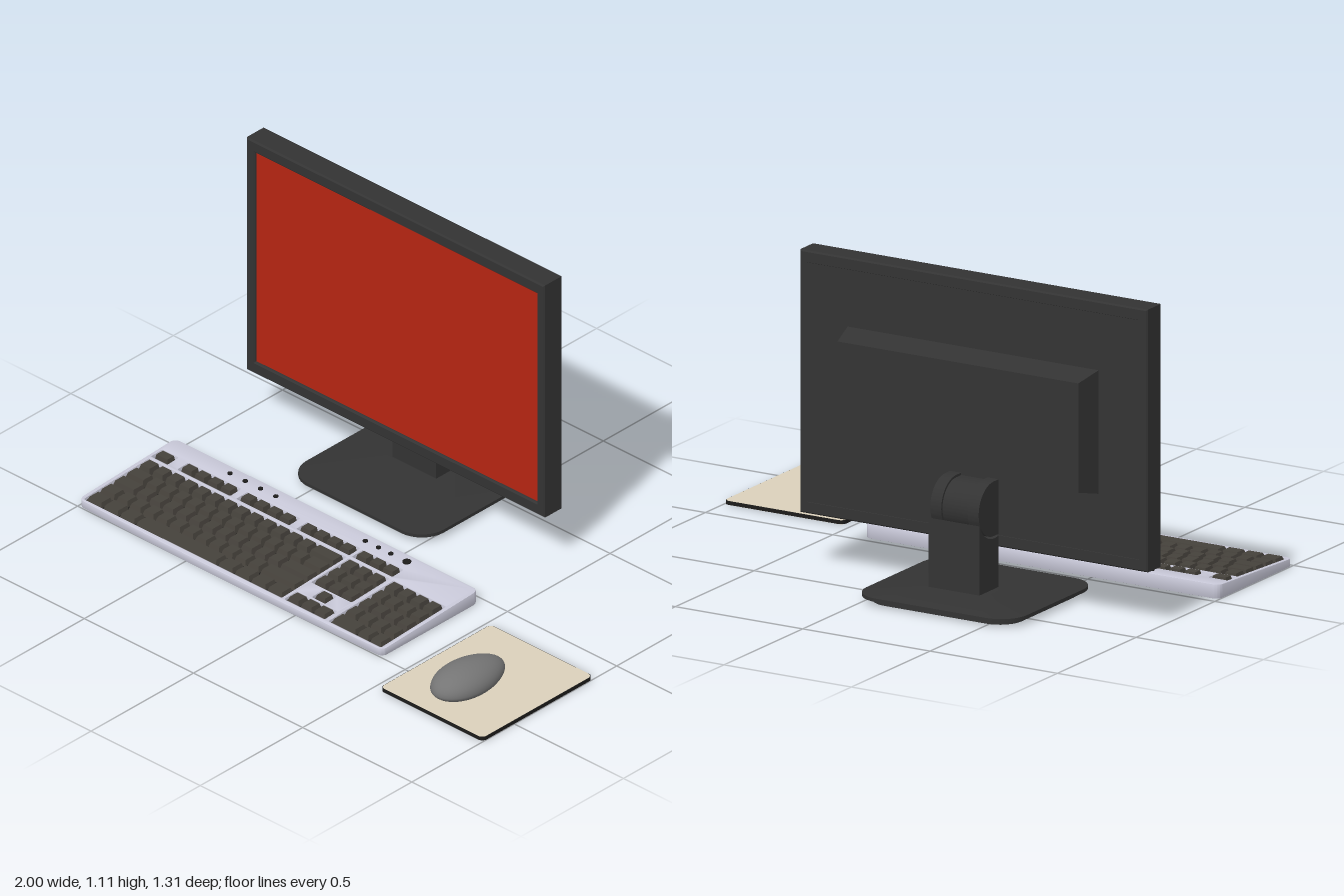
import * as THREE from 'three';
import { mergeGeometries, mergeVertices, toCreasedNormals } from 'three/addons/utils/BufferGeometryUtils.js';

const mat = (color) => new THREE.MeshStandardMaterial({ color });
const black = mat(0x333333), red = mat(0xb52412), shell = mat(0xc8c8d8), keyMat = mat(0x45413b);
const dark = mat(0x1c1b1a), tan = mat(0xdad0ba), grey = mat(0x757575);

function add(parent, name, geo, material) {
  const mesh = new THREE.Mesh(geo, material);
  mesh.name = name;
  parent.add(mesh);
}

// Box given by its limits
function box(x0, x1, y0, y1, z0, z1) {
  return new THREE.BoxGeometry(x1 - x0, y1 - y0, z1 - z0)
    .translate((x0 + x1) / 2, (y0 + y1) / 2, (z0 + z1) / 2);
}

// Rounded rectangle seen from above (point y = -z); bow curves its front edge outward
function outline(x0, x1, z0, z1, r, segments = 8, bow = 0) {
  const pts = [];
  const corners = [[x0 + r, r - z1], [x1 - r, r - z1], [x1 - r, -z0 - r], [x0 + r, -z0 - r]];
  corners.forEach(([cx, cy], c) => {
    for (let i = 0; i <= segments; i++) {
      const a = Math.PI * (1 + (c + i / segments) / 2);
      pts.push(new THREE.Vector2(cx + r * Math.cos(a), cy + r * Math.sin(a)));
    }
    if (c === 0 && bow > 0) {
      for (let t = 0.1; t < 0.95; t += 0.1) {
        pts.push(new THREE.Vector2(x0 + r + t * (x1 - x0 - 2 * r), -z1 - 4 * bow * t * (1 - t)));
      }
    }
  });
  return pts;
}

// Plan shape raised from y0 to y1, with optional bevel
function slab(shape, y0, y1, bevel = 0) {
  return new THREE.ExtrudeGeometry(shape, {
    depth: y1 - y0 - 2 * bevel, bevelEnabled: bevel > 0,
    bevelThickness: bevel, bevelSize: bevel, bevelOffset: -bevel, bevelSegments: 2,
  }).rotateX(-Math.PI / 2).translate(0, y0 + bevel, 0);
}

// Side profile (shape x = world z) extruded between x0 and x1
function sideProfile(shape, x0, x1) {
  const geo = new THREE.ExtrudeGeometry(shape, { depth: x1 - x0, bevelEnabled: false, curveSegments: 24 });
  return toCreasedNormals(geo.rotateY(-Math.PI / 2).translate(x1, 0, 0), 0.5);
}

// Skin over a stack of equal-count outlines, capped at both ends
function loft(rings) {
  const n = rings[0][0].length, top = (rings.length - 1) * n, idx = [];
  const pos = rings.flatMap(([pts, y]) => pts.flatMap((p) => [p.x, y, -p.y]));
  for (let k = 0; k < top; k += n) {
    for (let i = 0; i < n; i++) {
      const a = k + i, b = k + (i + 1) % n;
      idx.push(a, b, b + n, a, b + n, a + n);
    }
  }
  for (let i = 1; i < n - 1; i++) idx.push(0, i + 1, i, top, top + i, top + i + 1);
  const g = new THREE.BufferGeometry();
  g.setAttribute('position', new THREE.Float32BufferAttribute(pos, 3));
  g.setIndex(idx);
  return toCreasedNormals(g, 0.3);
}

// Moves every vertex by a rule
function warp(geo, rule) {
  const p = geo.attributes.position, v = new THREE.Vector3();
  for (let i = 0; i < p.count; i++) {
    rule(v.fromBufferAttribute(p, i));
    p.setXYZ(i, v.x, v.y, v.z);
  }
  geo.computeVertexNormals();
  return geo;
}

function makeMonitor() {
  const g = new THREE.Group();
  g.name = 'monitor';
  // Frame with a window for the recessed screen
  const rect = (x0, x1, y0, y1) => [[x0, y0], [x1, y0], [x1, y1], [x0, y1]].map((p) => new THREE.Vector2(...p));
  const frame = new THREE.Shape(rect(-0.97, 0.395, 0.19, 1.105));
  frame.holes.push(new THREE.Path(rect(-0.932, 0.36, 0.235, 1.06)));
  add(g, 'screenFrame', new THREE.ExtrudeGeometry(frame, {
    depth: 0.08, bevelThickness: 0.005, bevelSize: 0.005, bevelOffset: -0.005, bevelSegments: 1,
  }).translate(0, 0, -0.375), black);
  add(g, 'screen', box(-0.94, 0.368, 0.227, 1.068, -0.32, -0.3), red);
  add(g, 'rearPanel', box(-0.95, 0.375, 0.215, 1.08, -0.379, -0.322), black);
  // Tapered housing on the back
  add(g, 'rearHousing', warp(box(-0.4925, 0.4925, -0.215, 0.215, -0.475, -0.379), (v) => {
    if (v.z < -0.4) { v.x *= 0.96; v.y *= 0.885; }
    v.x -= 0.285;
    v.y += 0.65;
  }), black);
  // Tilt hinge: two outer cheeks and a slimmer core
  const hinge = (r, x0, x1, name) => {
    const s = new THREE.Shape();
    s.moveTo(-0.375, 0.33 - r);
    s.lineTo(-0.375, 0.33 + r);
    s.absarc(-0.41, 0.33, r, Math.PI / 2, Math.PI * 1.5, false);
    add(g, name, sideProfile(s, x0, x1), black);
  };
  hinge(0.095, -0.385, -0.342, 'hingeCheekRight');
  hinge(0.087, -0.342, -0.238, 'hingeCore');
  hinge(0.095, -0.238, -0.195, 'hingeCheekLeft');
  // Neck with a hollow that cradles the hinge
  const neck = new THREE.Shape();
  neck.moveTo(-0.505, 0.03);
  neck.lineTo(-0.385, 0.03);
  neck.absarc(-0.41, 0.33, 0.102, -1.323, -2.77, true);
  add(g, 'neck', sideProfile(neck, -0.388, -0.188), black);
  // Base plate sloping down from the neck, on an inset foot
  const outer = outline(-0.605, 0.025, -0.655, -0.095, 0.1);
  const foot = outline(-0.575, -0.005, -0.625, -0.125, 0.085);
  add(g, 'base', loft([
    [foot, 0], [foot, 0.016], [outer, 0.018], [outer, 0.03],
    [outline(-0.41, -0.165, -0.515, -0.375, 0.01), 0.052],
  ]), black);
  return g;
}

function makeKeyboard() {
  const g = new THREE.Group();
  g.name = 'keyboard';
  const H = 0.05, topAt = (z) => H - 0.048 * (z - 0.03);
  const rowZ = (i) => 0.17 + i * 0.0625;
  const ones = (n) => Array(n).fill(1);
  // Key blocks: x range, z range, rows of relative key widths
  const blocks = [
    [-0.985, -0.915, 0.103, 0.152, [[1]]],
    ...[-0.865, -0.595, -0.32].map((x) => [x, x + 0.237, 0.103, 0.152, [ones(4)]]),
    [-0.065, 0.115, 0.103, 0.152, [ones(3)]],
    [-0.983, -0.082, rowZ(0), rowZ(5), [
      [...ones(13), 2], [1.5, ...ones(12), 1.5], [1.75, ...ones(11), 2.25],
      [1.25, ...ones(11), 2.75], [1.25, 1.25, 1.25, 6.25, 1.25, 1.25, 1.25, 1.25]]],
    [-0.065, 0.115, rowZ(0), rowZ(3) - 0.006, [ones(3), ones(3), ones(3)]],
    [-0.003, 0.053, rowZ(3) + 0.006, rowZ(4) - 0.006, [[1]]],
    [-0.065, 0.115, rowZ(4) + 0.006, rowZ(5), [ones(3)]],
    [0.138, 0.373, rowZ(0), rowZ(5), [ones(4), ones(4), ones(4), ones(4), [2, 1, 1]]],
  ];
  const body = new THREE.Shape(outline(-1, 0.392, 0.025, 0.497, 0.025, 8, 0.01));
  const keys = [], trays = [];
  for (const [x0, x1, za, zb, rows] of blocks) {
    body.holes.push(new THREE.Path(outline(x0 - 0.002, x1 + 0.002, za - 0.002, zb + 0.002, 0.003, 2)));
    trays.push(box(x0 - 0.005, x1 + 0.005, 0.012, 0.018, za - 0.005, zb + 0.005));
    const dz = (zb - za) / rows.length;
    rows.forEach((widths, r) => {
      const unit = (x1 - x0) / widths.reduce((a, b) => a + b);
      const zc = za + (r + 0.5) * dz, top = topAt(zc) + 0.006;
      let x = x0;
      for (const w of widths) {
        const xc = x + w * unit / 2;
        // Keycap narrowing towards its top
        keys.push(warp(new THREE.BoxGeometry(w * unit - 0.006, 1, dz - 0.006), (v) => {
          if (v.y > 0) { v.x -= Math.sign(v.x) * 0.007; v.z = v.z * 0.75 - 0.002; }
          v.set(v.x + xc, v.y > 0 ? top : 0.017, v.z + zc);
        }));
        x += w * unit;
      }
    });
  }
  // Sloping case with wells for the key blocks
  const caseGeo = warp(slab(body, 0, H, 0.003), (v) => {
    if (v.y > H / 2) v.y -= H - topAt(v.z);
  });
  add(g, 'case', toCreasedNormals(caseGeo, 0.6), shell);
  add(g, 'caseFloor', box(-0.99, 0.38, 0.001, 0.013, 0.04, 0.488), shell);
  add(g, 'keyWells', mergeGeometries(trays), dark);
  add(g, 'keys', mergeGeometries(keys), keyMat);
  // Small round buttons along the back
  for (const x of [-0.715, -0.645, -0.575, -0.505, -0.095, -0.035, 0.022, 0.095]) {
    const r = x > 0.09 ? 0.015 : 0.009;
    add(g, 'button', new THREE.CylinderGeometry(r, r, 0.008, 16).translate(x, topAt(0.06), 0.06), dark);
  }
  return g;
}

function makeMouse() {
  const g = new THREE.Group();
  g.name = 'mouseAndPad';
  const face = new THREE.Shape(outline(0.532, 0.998, 0.117, 0.653, 0.019));
  add(g, 'padCore', slab(new THREE.Shape(outline(0.53, 1, 0.115, 0.655, 0.02)), 0.001, 0.014), dark);
  add(g, 'padTop', slab(face, 0.012, 0.015), tan);
  add(g, 'padUnderside', slab(face, 0, 0.003), tan);
  // Egg-shaped body with a flat underside
  const sphere = new THREE.SphereGeometry(1, 48, 32);
  sphere.deleteAttribute('uv');
  sphere.deleteAttribute('normal');
  add(g, 'mouse', warp(mergeVertices(sphere), (v) => v.set(
    0.73 + 0.09 * v.x * (1 + 0.12 * v.z),
    v.y > 0 ? 0.035 + 0.064 * v.y * (1 + 0.15 * v.z) : Math.max(0.014, 0.035 + 0.045 * v.y),
    0.435 + 0.156 * v.z,
  )), grey);
  return g;
}

export function createModel() {
  const model = new THREE.Group();
  model.name = 'desktopComputer';
  model.add(makeMonitor(), makeKeyboard(), makeMouse());
  return model;
}
